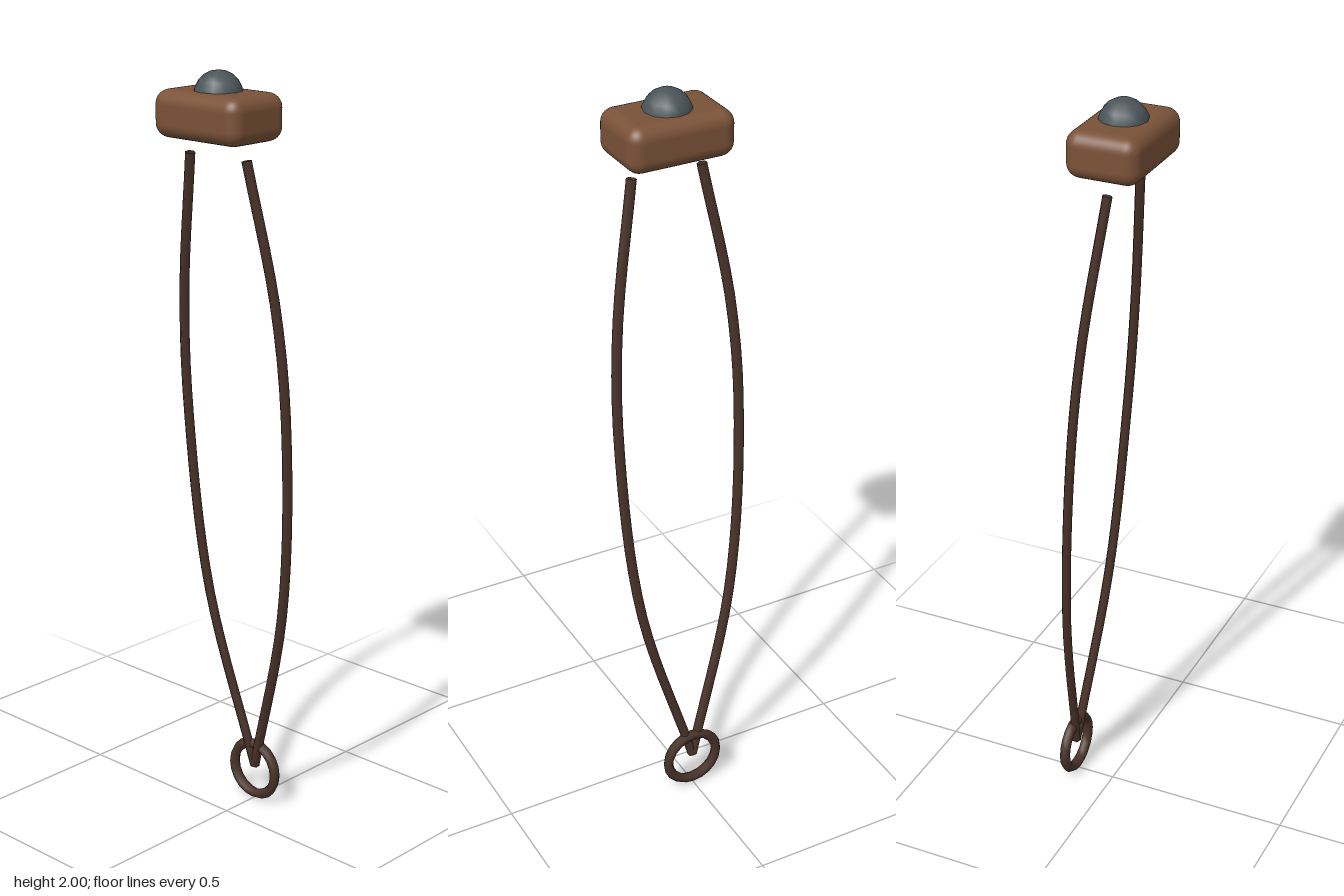
import * as THREE from 'three';
import { RoundedBoxGeometry } from 'three/addons/geometries/RoundedBoxGeometry.js';

const paint = (color, side = THREE.FrontSide) => new THREE.MeshStandardMaterial({ color, side });

export function createModel() {
  const group = new THREE.Group();
  const leather = paint(0x4a3329, THREE.DoubleSide);
  const add = (name, geometry, material, x = 0, y = 0, z = 0) => {
    const mesh = new THREE.Mesh(geometry, material);
    mesh.name = name;
    mesh.position.set(x, y, z);
    group.add(mesh);
  };

  // Rounded pouch with a stone resting in it
  add('pouch', new RoundedBoxGeometry(0.284, 0.118, 0.19, 4, 0.036), paint(0x7a5238), 0, 1.891, 0.028);
  add('stone', new THREE.SphereGeometry(0.063, 12, 10), paint(0x4a5459), 0, 1.937, 0.028);

  // Two bowed cords that meet at the finger loop
  for (const side of [1, -1]) {
    const path = new THREE.CatmullRomCurve3([
      [0.095, 1.79, 0.03],
      [0.158, 1.42, -0.01],
      [0.172, 1.1, -0.037],
      [0.133, 0.6, -0.072],
      [0, 0.1, -0.112],
    ].map(([x, y, z]) => new THREE.Vector3(side * x, y, z)));
    add(side > 0 ? 'leftCord' : 'rightCord', new THREE.TubeGeometry(path, 24, 0.013, 6), leather);
  }

  // Finger loop
  add('fingerLoop', new THREE.TorusGeometry(0.074, 0.014, 6, 20), leather, 0, 0.09, -0.112);

  return group;
}
